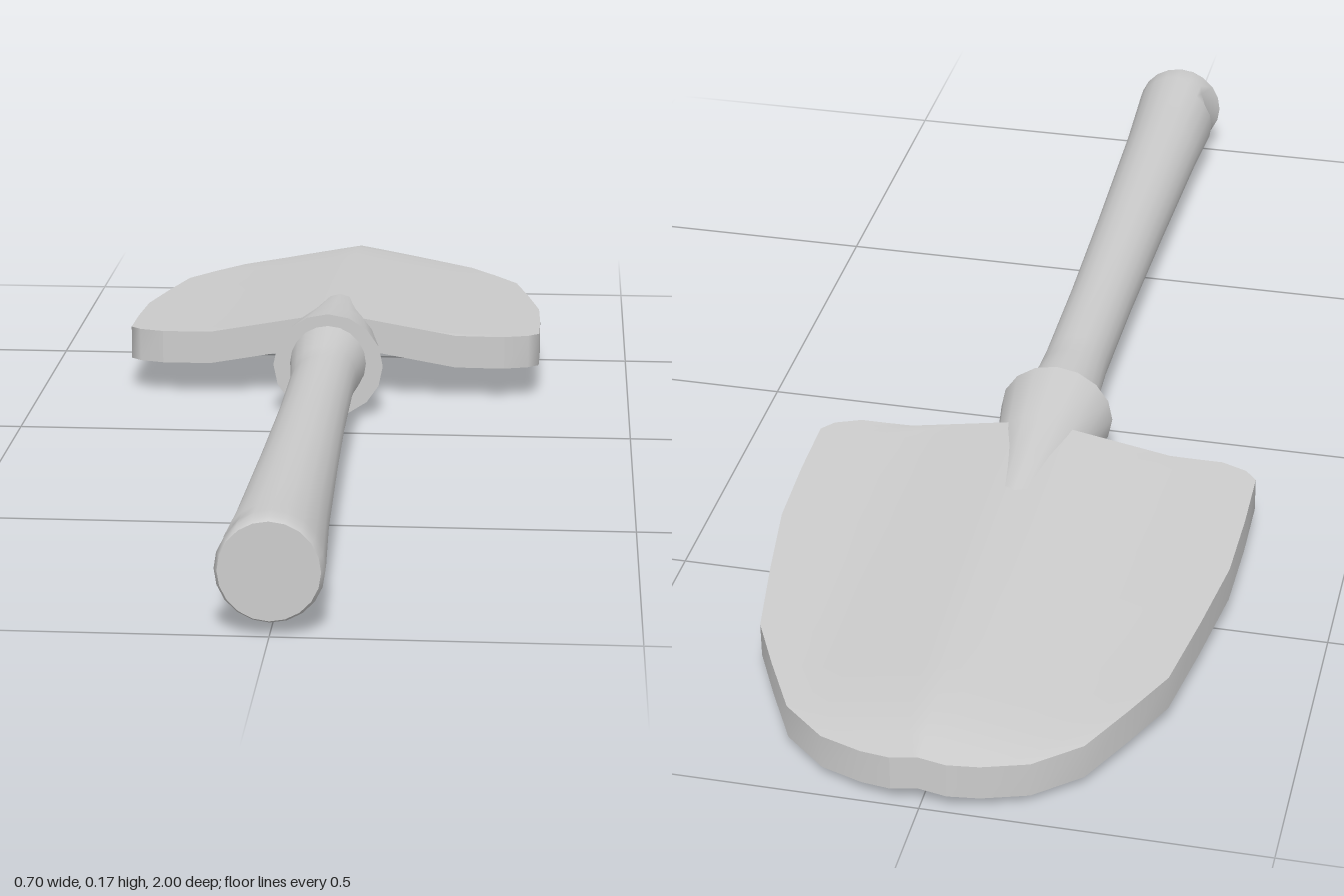
import * as THREE from 'three';

const material = new THREE.MeshStandardMaterial({ color: 0xcccccc });

// Round bar along z; rows run front to back as [z, half width, top y, bottom y].
function loft(rows, sides) {
  const n = rows.length - 1;
  const geo = new THREE.CylinderGeometry(1, 1, 1, sides, n);
  const p = geo.attributes.position;
  for (let i = 0; i < p.count; i++) {
    const [z, w, top, bottom] = rows[Math.round((0.5 - p.getY(i)) * n)];
    p.setXYZ(i, p.getX(i) * w, (top + bottom) / 2 - p.getZ(i) * (top - bottom) / 2, z);
  }
  geo.computeVertexNormals();
  return geo;
}

// Closed blade slab: box rows follow the outline, the surface drops off from a centre ridge.
function bladeGeometry() {
  const outline = [
    [-0.22, 0.29], [-0.235, 0.33], [-0.255, 0.348], [-0.36, 0.349], [-0.48, 0.346],
    [-0.61, 0.326], [-0.74, 0.303], [-0.82, 0.262], [-0.905, 0.215],
    [-0.96, 0.15], [-0.988, 0.085], [-1, 0.04],
  ];
  const n = outline.length - 1;
  const geo = new THREE.BoxGeometry(2, 1, 1, 14, 1, n);
  const p = geo.attributes.position;
  for (let i = 0; i < p.count; i++) {
    const [z, w] = outline[Math.round((0.5 - p.getZ(i)) * n)];
    const x = p.getX(i) * w;
    const drop = 0.037 * Math.min(Math.abs(x) / 0.21, 1);
    const tip = 0.014 * Math.max(0, (-z - 0.9) / 0.1);
    const top = 0.148 + 0.056 * (z + 0.22) - drop - tip;
    p.setXYZ(i, x, p.getY(i) > 0 ? top : top - 0.055, z);
  }
  geo.computeVertexNormals();
  return geo;
}

// Turned handle, flared at the butt, with a small nick in its right side.
function handleGeometry() {
  const profile = [
    [1, 0.07], [0.99, 0.075], [0.96, 0.074], [0.92, 0.072], [0.8, 0.066], [0.5, 0.058],
    [0.25, 0.053], [0.05, 0.052], [0, 0.054], [-0.1, 0.063],
  ];
  const geo = loft(profile.map(([z, r]) => [z, r, 0.092 + r, 0.092 - r]), 20);
  const p = geo.attributes.position;
  for (let i = 0; i < p.count; i++) {
    if (Math.abs(p.getZ(i) - 0.96) < 0.005 && p.getX(i) < -0.055) p.setX(i, -0.045);
  }
  geo.computeVertexNormals();
  return geo;
}

export function createModel() {
  const group = new THREE.Group();
  const add = (name, geo) => {
    const mesh = new THREE.Mesh(geo, material);
    mesh.name = name;
    group.add(mesh);
  };

  add('handle', handleGeometry());
  // Collar that narrows into a tongue under the blade
  add('socket', loft([
    [-0.1, 0.091, 0.175, 0], [-0.22, 0.071, 0.158, 0.036], [-0.3, 0.055, 0.149, 0.041],
    [-0.4, 0.043, 0.138, 0.046], [-0.5, 0.036, 0.122, 0.051], [-0.62, 0.027, 0.107, 0.06],
    [-0.7, 0.015, 0.1, 0.067],
  ], 16));
  add('blade', bladeGeometry());
  return group;
}
